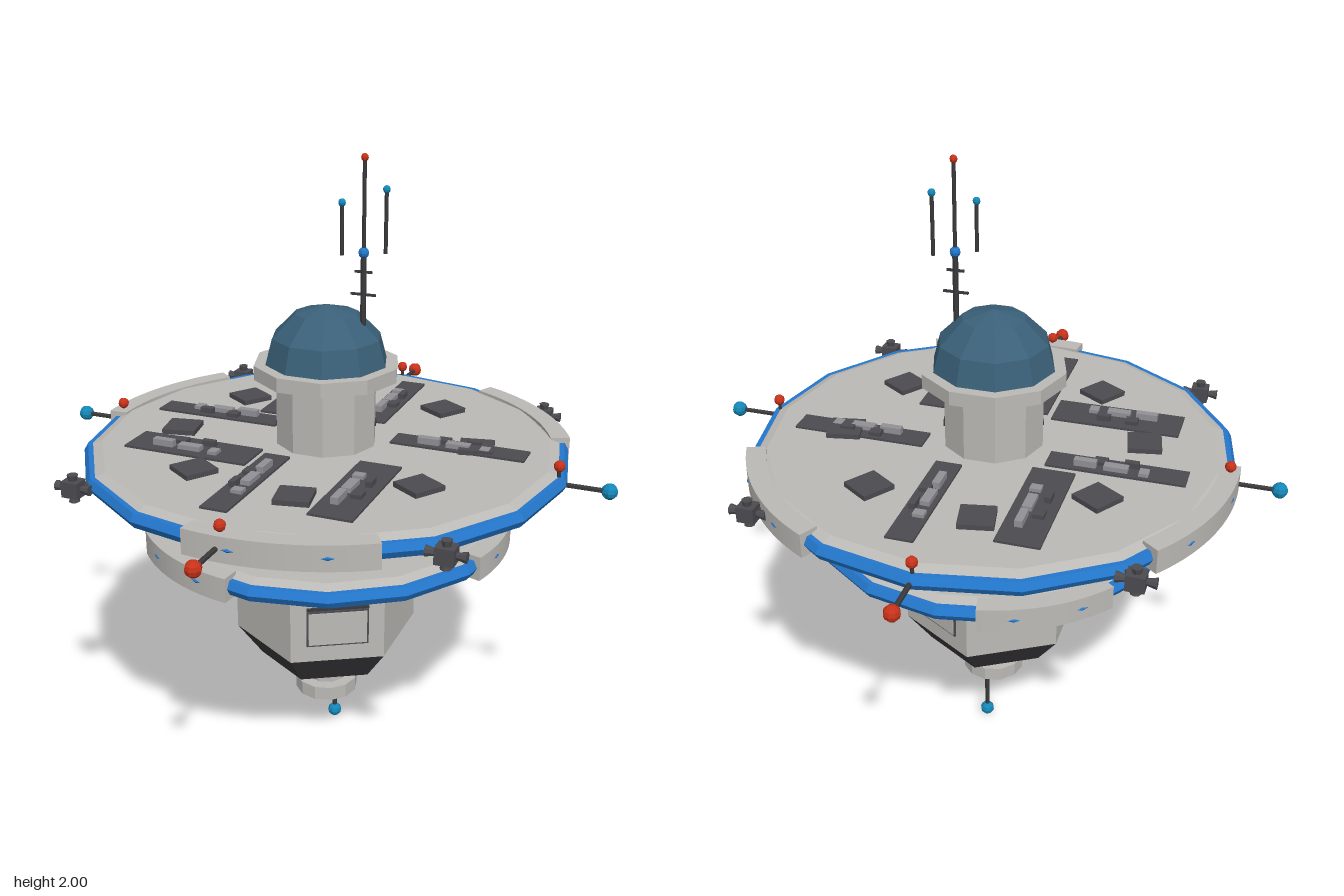
import * as THREE from 'three';

const mat = (name, color) => {
  const m = new THREE.MeshStandardMaterial({ color });
  m.name = name;
  m.flatShading = true;
  return m;
};

export function createModel() {
  const root = new THREE.Group();
  root.name = 'spaceStation';
  const hull = mat('lightGreyHull', 0xbcbab6), dark = mat('darkGreyPanel', 0x4c4b50);
  const under = mat('charcoal', 0x3a3a3d), grey = mat('midGrey', 0x929196);
  const blue = mat('blueTrim', 0x2377cc), cyan = mat('cyanLight', 0x1488b8);
  const red = mat('redLight', 0xc8321a), glass = mat('domeGlass', 0x3a6078);
  const glow = mat('cyanNozzle', 0x1aa0d8);
  glow.side = THREE.DoubleSide;
  const rad = THREE.MathUtils.degToRad;

  const add = (name, geo, material, x = 0, y = 0, z = 0, parent = root) => {
    const m = new THREE.Mesh(geo, material);
    m.name = name;
    m.position.set(x, y, z);
    parent.add(m);
    return m;
  };
  const box = (name, w, h, d, m, x, y, z, parent) => add(name, new THREE.BoxGeometry(w, h, d), m, x, y, z, parent);
  const cyl = (name, r1, r2, y0, y1, n, m, x = 0, z = 0, parent = root, turn = 0) =>
    add(name, new THREE.CylinderGeometry(r1, r2, y1 - y0, n, 1, false, turn), m, x, (y0 + y1) / 2, z, parent);
  const ball = (name, r, m, x, y, z, parent) => add(name, new THREE.SphereGeometry(r, 8, 6), m, x, y, z, parent);
  // A pivot turned so that its +z points along the given azimuth
  const spoke = (name, deg) => {
    const g = new THREE.Group();
    g.name = name;
    g.rotation.y = rad(deg);
    root.add(g);
    return g;
  };

  // Central column, collar and dome
  cyl('column', 0.162, 0.162, 0.66, 1.32, 10, hull, 0, 0, root, Math.PI / 2);
  cyl('collar', 0.232, 0.232, 1.315, 1.36, 10, hull, 0, 0, root, Math.PI / 2);
  add('dome', new THREE.SphereGeometry(0.2, 10, 3, 0, Math.PI * 2, 0, Math.PI / 2), glass, 0, 1.342, 0);

  // Hexagonal body with tapered underside
  cyl('body', 0.303, 0.303, 0.435, 0.672, 6, hull);
  cyl('bodyTaper', 0.303, 0.222, 0.325, 0.435, 6, under);
  for (const a of [30, 150, 270]) {
    const s = spoke('bodyHatch', a), f = 0.303 * Math.cos(Math.PI / 6);
    box('hatchFrame', 0.2, 0.125, 0.008, dark, 0, 0.555, f + 0.002, s);
    box('hatchPlate', 0.188, 0.113, 0.014, hull, 0, 0.555, f + 0.002, s);
    box('hatchSlot', 0.2, 0.008, 0.014, under, 0, 0.626, f + 0.002, s);
  }

  // Neck, hollow docking ring and lower aerial
  cyl('neck', 0.068, 0.068, 0.21, 0.33, 10, hull);
  const ringPts = [[0.078, 0.225], [0.078, 0.178], [0.106, 0.178], [0.106, 0.226], [0.06, 0.226]];
  add('dockingRing', new THREE.LatheGeometry(ringPts.map(p => new THREE.Vector2(...p)), 12), hull);
  add('dockingGlow', new THREE.CylinderGeometry(0.077, 0.077, 0.044, 12, 1, true), glow, 0, 0.202, 0);
  cyl('lowerAerial', 0.008, 0.008, 0.03, 0.2, 6, under, 0, -0.078);
  ball('lowerAerialTip', 0.024, cyan, 0, 0.024, -0.078);

  // A disc deck: hull, blue rim, three armour arcs with lights, and raised hatches
  const deck = (label, R, y, plateStart, hatchR) => {
    const pts = [[0, -0.032], [R - 0.05, -0.032], [R - 0.022, -0.02], [R - 0.022, 0.02], [R - 0.06, 0.034], [0, 0.034]];
    add(label + 'Hull', new THREE.LatheGeometry(pts.map(p => new THREE.Vector2(...p)), 16), hull, 0, y, 0);
    const torus = new THREE.TorusGeometry(R - 0.026, 0.026, 6, 16);
    torus.rotateX(Math.PI / 2);
    add(label + 'BlueRim', torus, blue, 0, y, 0);
    for (let k = 0; k < 3; k++) {
      const a = plateStart + 120 * k, half = rad(20.5), q = Math.PI / 2;
      const s = spoke(label + 'Armour', a);
      const shape = new THREE.Shape();
      shape.absarc(0, 0, R + 0.002, q - half, q + half, false);
      shape.absarc(0, 0, R - 0.06, q + half, q - half, true);
      const g = new THREE.ExtrudeGeometry(shape, { depth: 0.078, bevelEnabled: false, curveSegments: 12 });
      g.rotateX(Math.PI / 2);
      add('armourArc', g, hull, 0, y + 0.039, 0, s);
      for (const d of [-10, 10]) {
        const e = add('armourLight', new THREE.OctahedronGeometry(1), blue,
          R * Math.sin(rad(d)), y, R * Math.cos(rad(d)), s);
        e.scale.set(0.027, 0.009, 0.006);
        e.rotation.y = rad(d);
      }
    }
    for (let k = 0; k < 8; k++) box('deckHatch', 0.108, 0.1, 0.108, dark, 0, y, hatchR, spoke(label + 'Hatch', 11.25 + 45 * k));
  };
  deck('upperDeck', 0.78, 1.063, 12.5, 0.48);
  deck('lowerDeck', 0.6, 0.828, -27.5, 0.37);

  // Long machinery strips on the decks: centre x, centre z, size x, size z
  const strips = [
    [-0.238, -0.358, 0.135, 0.415], [0.083, -0.418, 0.085, 0.435], [0.418, -0.082, 0.435, 0.085],
    [0.238, 0.353, 0.135, 0.415], [-0.083, 0.415, 0.085, 0.435], [-0.418, -0.082, 0.435, 0.085],
    [-0.355, 0.238, 0.42, 0.135],
  ];
  // Blocks on each strip: along, across, length, width, height
  const blocks = [
    [-0.22, 0.1, 0.07, 0.024, 0.022], [-0.12, -0.12, 0.04, 0.035, 0.014],
    [0.0, 0.1, 0.075, 0.03, 0.016], [0.1, -0.15, 0.045, 0.02, 0.02], [0.2, 0.12, 0.03, 0.035, 0.012],
  ];
  for (const [k, y] of [[1, 1.097], [0.72, 0.862]]) {
    strips.forEach(([x, z, w, d], i) => {
      box('machineryStrip', w * k, 0.008, d * k, dark, x * k, y + 0.003, z * k);
      const L = Math.max(w, d), W = Math.min(w, d), flip = i % 2 ? -1 : 1;
      blocks.forEach(([u, v, l, t, h], j) => {
        const m = j % 2 ? dark : grey, a = u * L * flip, c = v * W * flip * 1.4;
        if (w > d) box('machineryBlock', l * k, h, t * k, m, (x + a) * k, y + 0.006 + h / 2, (z + c) * k);
        else box('machineryBlock', t * k, h, l * k, m, (x + c) * k, y + 0.006 + h / 2, (z + a) * k);
      });
    });
  }

  // Rim aerials: red tips front and back, cyan tips at the sides
  for (let k = 0; k < 4; k++) {
    const s = spoke('rimAerial', 90 * k);
    const rod = cyl('rimRod', 0.008, 0.008, 0, 0.15, 6, under, 0, 0.83, s);
    rod.position.y = 1.063;
    rod.rotation.x = Math.PI / 2;
    ball('rimTip', 0.025, k % 2 ? cyan : red, 0, 1.063, 0.905, s);
    cyl('beaconStem', 0.006, 0.006, 1.08, 1.12, 6, under, 0, 0.752, s);
    ball('rimBeacon', 0.018, red, 0, 1.12, 0.752, s);
  }

  // Four manoeuvring thruster blocks
  for (const sx of [-1, 1]) for (const sz of [-1, 1]) {
    const g = new THREE.Group();
    g.name = 'thruster';
    g.position.set(sx * 0.578, 1.063, sz * 0.578);
    root.add(g);
    box('thrusterBlock', 0.056, 0.05, 0.05, dark, 0, 0, 0, g);
    for (const a of [0, 1, 2, 3]) {
      const n = add('thrusterNozzle', new THREE.CylinderGeometry(0.017, 0.01, 0.03, 8), dark, 0, 0, 0, g);
      n.rotation.z = a * Math.PI / 2;
      n.position.set(0, a % 2 ? 0 : 0.028, 0);
      if (a === 2) n.position.y = -0.028;
      if (a % 2) n.position.x = a === 1 ? -0.043 : 0.043;
    }
    const arm = box('thrusterArm', 0.02, 0.02, 0.07, dark, -sx * 0.02, 0, -sz * 0.02, g);
    arm.rotation.y = sx * sz * Math.PI / 4;
  }

  // Mast with crossbars and three whips
  cyl('mast', 0.009, 0.009, 1.45, 1.71, 6, under, 0.12, 0);
  ball('mastJoint', 0.017, blue, 0.12, 1.71, 0);
  box('crossbar', 0.08, 0.007, 0.007, under, 0.12, 1.583, 0);
  box('crossbar', 0.055, 0.007, 0.007, under, 0.12, 1.652, 0);
  for (const [x, z, top, r, m] of [[0.12, 0, 1.988, 0.012, red], [0.063, 0.034, 1.86, 0.012, cyan], [0.177, -0.034, 1.895, 0.012, cyan]]) {
    cyl('whip', 0.006, 0.006, 1.705, top, 6, under, x, z);
    ball('whipTip', r, m, x, top, z);
  }

  // Small vents on the column
  for (const a of [-72, 108]) box('columnVent', 0.05, 0.008, 0.008, under, 0, 1.16, 0.155, spoke('vent', a));
  return root;
}
